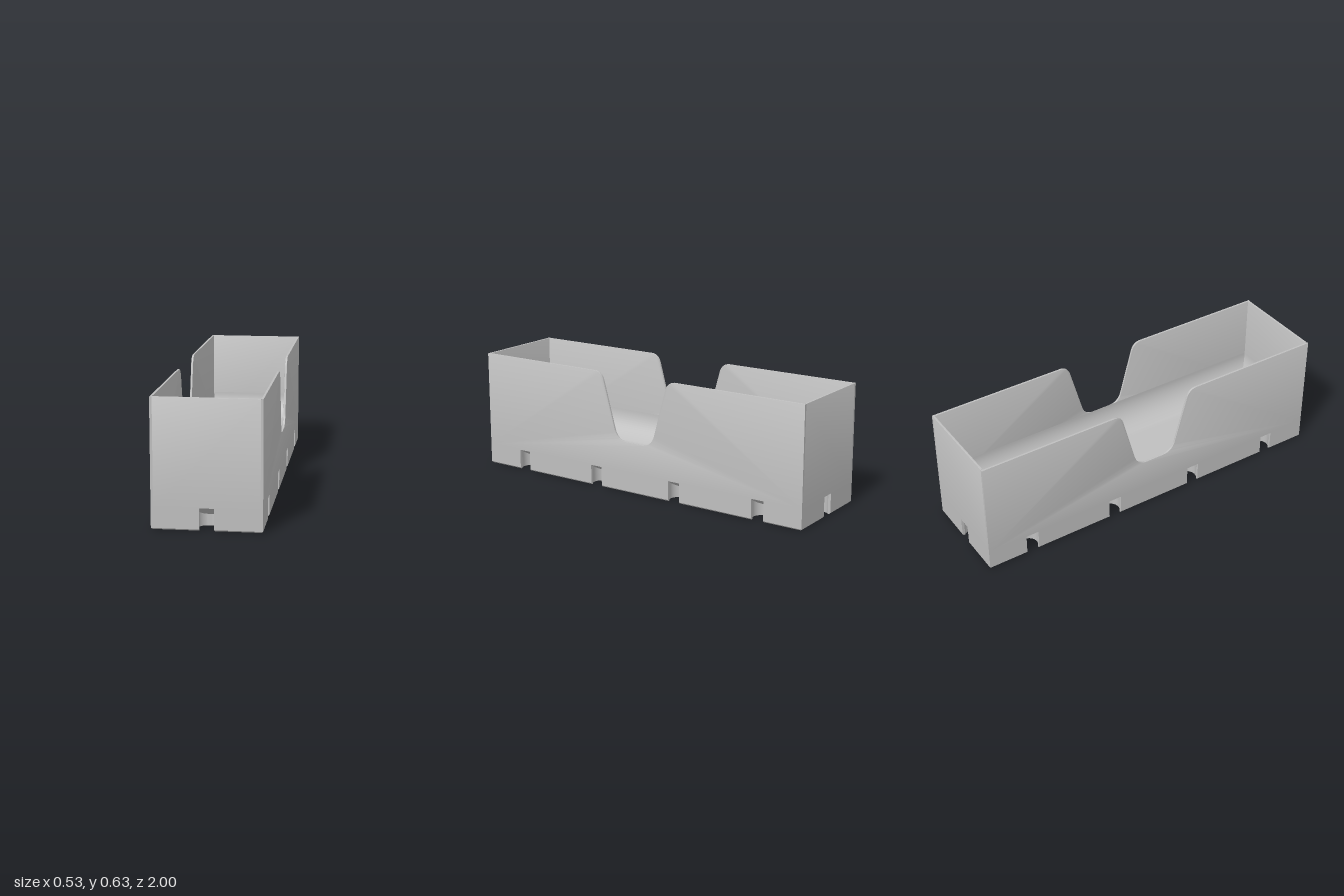
import * as THREE from 'three';
import { toCreasedNormals } from 'three/addons/utils/BufferGeometryUtils.js';

const W = 0.265, L = 1, H = 0.635;   // half width, half length, height
const T = 0.012;                     // wall thickness
const BASE = 0.11;                   // top of the slotted base
const FLOOR = 0.13, R = 0.155;       // inner floor height and fillet radius
const BEVEL = 0.003, CHAMFER = 0.007;
const NECK = 0.035, HOLE = 0.05, SLOPE = 0.54; // keyhole slot

// Edges of the base in walking order: tangent, inward normal, half distance, slot positions
const edges = [
  { t: [1, 0], n: [0, 1], corner: [-W, -L], mid: [0, -L], slots: [0] },
  { t: [0, 1], n: [-1, 0], corner: [W, -L], mid: [W, 0], slots: [-0.75, -0.25, 0.25, 0.75] },
  { t: [-1, 0], n: [0, -1], corner: [W, L], mid: [0, L], slots: [0] },
  { t: [0, -1], n: [1, 0], corner: [-W, L], mid: [-W, 0], slots: [-0.75, -0.25, 0.25, 0.75] },
];

// Plan outline of one keyhole: narrow neck at the edge, round pocket inside
function keyhole(edge, s) {
  const a0 = Math.asin(NECK / HOLE), n = 24;
  const local = [[-NECK, 0]];
  for (let i = 0; i <= n; i++) {
    const a = a0 + (i / n) * (2 * Math.PI - 2 * a0);
    local.push([-HOLE * Math.sin(a), HOLE - HOLE * Math.cos(a)]);
  }
  local.push([NECK, 0]);
  return local.map(([u, d]) => new THREE.Vector2(
    edge.mid[0] + edge.t[0] * (s + u) + edge.n[0] * d,
    edge.mid[1] + edge.t[1] * (s + u) + edge.n[1] * d));
}

// Slotted base with a chamfered lower edge
function baseGeometry() {
  const pts = [];
  for (const e of edges) {
    pts.push(new THREE.Vector2(...e.corner));
    for (const s of e.slots) pts.push(...keyhole(e, s));
  }
  const g = new THREE.ExtrudeGeometry(new THREE.Shape(pts), { depth: BASE, steps: 2, bevelEnabled: false });
  g.rotateX(Math.PI / 2).translate(0, BASE, 0);
  const p = g.attributes.position;
  for (let i = 0; i < p.count; i++) {
    const y = p.getY(i);
    if (y < 0.001) {
      p.setX(i, THREE.MathUtils.clamp(p.getX(i), -W + CHAMFER, W - CHAMFER));
      p.setZ(i, THREE.MathUtils.clamp(p.getZ(i), -L + CHAMFER, L - CHAMFER));
    } else if (y < BASE - 0.001) p.setY(i, CHAMFER);
  }
  return toCreasedNormals(g, 0.5);
}

// Sloping ceiling of one slot, falling towards the inside
function ceilingGeometry(edge, s) {
  const g = new THREE.ShapeGeometry(new THREE.Shape(keyhole(edge, s)));
  g.rotateX(Math.PI / 2);
  const p = g.attributes.position;
  for (let i = 0; i < p.count; i++) {
    const d = (p.getX(i) - edge.mid[0]) * edge.n[0] + (p.getZ(i) - edge.mid[1]) * edge.n[1];
    p.setY(i, BASE - SLOPE * d);
  }
  g.computeVertexNormals();
  return g;
}

// Upright wall with a softened rim; its ends and foot are kept square
function wallGeometry(shape, half) {
  const g = new THREE.ExtrudeGeometry(shape, {
    depth: T - 2 * BEVEL, bevelThickness: BEVEL, bevelSize: BEVEL,
    bevelOffset: -BEVEL, bevelSegments: 2, curveSegments: 12,
  });
  g.translate(0, 0, BEVEL - T / 2);
  const p = g.attributes.position;
  for (let i = 0; i < p.count; i++) {
    if (Math.abs(p.getX(i)) > half - 0.004) p.setX(i, Math.sign(p.getX(i)) * half);
    if (p.getY(i) < BASE + 0.004) p.setY(i, BASE);
  }
  return toCreasedNormals(g, 0.5);
}

// Long wall profile with the finger notch
function sideShape() {
  const s = new THREE.Shape();
  s.moveTo(-L, BASE);
  s.lineTo(L, BASE);
  s.lineTo(L, H);
  s.lineTo(0.255, H);
  s.quadraticCurveTo(0.209, H, 0.195, 0.585);
  s.lineTo(0.126, 0.337);
  s.quadraticCurveTo(0.109, 0.276, 0.05, 0.276);
  s.lineTo(-0.05, 0.276);
  s.quadraticCurveTo(-0.109, 0.276, -0.126, 0.337);
  s.lineTo(-0.195, 0.585);
  s.quadraticCurveTo(-0.209, H, -0.255, H);
  s.lineTo(-L, H);
  s.closePath();
  return s;
}

function endShape() {
  const w = W - T;
  return new THREE.Shape([[-w, BASE], [w, BASE], [w, H], [-w, H]].map(c => new THREE.Vector2(...c)));
}

// Inner floor: mitred fillets built from shrinking rectangles, closed by a flat middle
function floorGeometry() {
  const pos = [], idx = [], n = 20;
  for (let k = 0; k <= n; k++) {
    const a = (k / n) * Math.PI / 2;
    const inset = T + R * (1 - Math.cos(a)), y = FLOOR + R * (1 - Math.sin(a));
    const x = W - inset, z = L - inset;
    pos.push(-x, y, -z, x, y, -z, x, y, z, -x, y, z);
    if (k === n) break;
    for (let j = 0; j < 4; j++) {
      const a0 = 4 * k + j, a1 = 4 * k + (j + 1) % 4;
      idx.push(a0, a0 + 4, a1 + 4, a0, a1 + 4, a1);
    }
  }
  const b = 4 * n;
  idx.push(b, b + 3, b + 2, b, b + 2, b + 1);
  const g = new THREE.BufferGeometry();
  g.setAttribute('position', new THREE.Float32BufferAttribute(pos, 3));
  g.setIndex(idx);
  return toCreasedNormals(g, 0.4);
}

export function createModel() {
  const group = new THREE.Group();
  group.name = 'tray';
  const grey = new THREE.MeshStandardMaterial({ color: 0xbfbfbf });
  grey.name = 'grey';
  const add = (name, geometry) => {
    const m = new THREE.Mesh(geometry, grey);
    m.name = name;
    group.add(m);
    return m;
  };

  add('base', baseGeometry());
  for (const e of edges) for (const s of e.slots) add('slotCeiling', ceilingGeometry(e, s));
  add('innerFloor', floorGeometry());

  const side = wallGeometry(sideShape(), L), end = wallGeometry(endShape(), W - T);
  for (const d of [1, -1]) {
    const sideWall = add(d > 0 ? 'leftWall' : 'rightWall', side);
    sideWall.rotation.y = Math.PI / 2;
    sideWall.position.x = d * (W - T / 2);
    add(d > 0 ? 'frontWall' : 'backWall', end).position.z = d * (L - T / 2);
  }
  return group;
}
